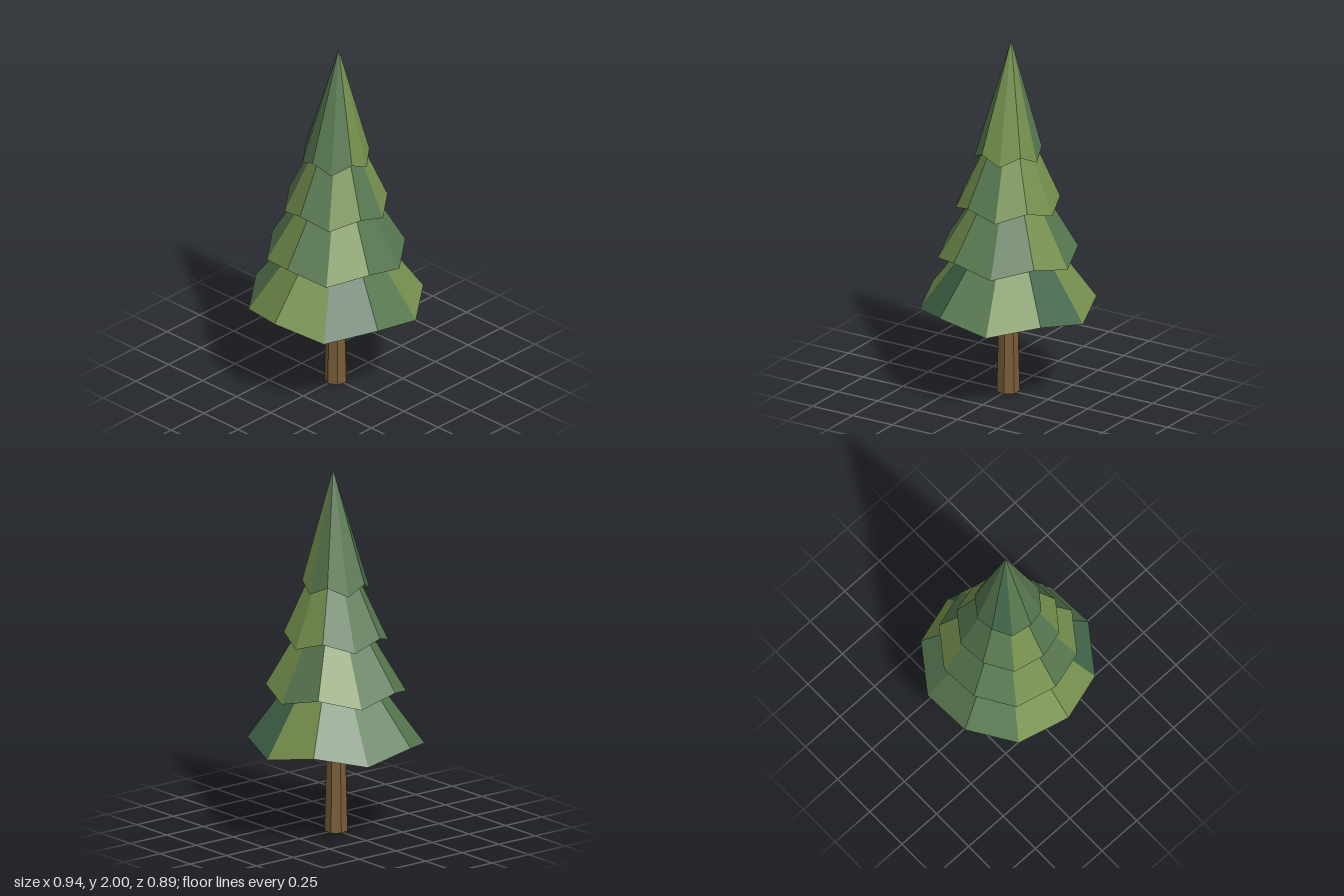
import * as THREE from 'three';

const SIDES = 10;
const APEX_X = 0.02; // the tiers lean slightly to one side
const ZIGZAG = 0.026; // rim corners alternate below and above the tier base

const paint = (name, color) => {
  const m = new THREE.MeshStandardMaterial({ color, flatShading: true });
  m.name = name;
  return m;
};

// One ten-sided cone with a zigzag rim and a closed underside.
// Each letter of faceCode is a face colour, starting at +x and turning towards +z.
function foliageTier(name, { radius, base, height, faceCode, under }, materials, codes) {
  const rim = (k) => {
    const i = k % SIDES;
    const a = (i / SIDES) * Math.PI * 2;
    return [radius * Math.cos(a), base + (i % 2 ? ZIGZAG : -ZIGZAG), radius * Math.sin(a)];
  };
  const apex = [APEX_X, base + height, 0];
  const center = [0, base, 0];
  const points = [];
  const geometry = new THREE.BufferGeometry();
  // needle faces
  for (let k = 0; k < SIDES; k++) {
    geometry.addGroup(k * 3, 3, codes.indexOf(faceCode[k]));
    points.push(...rim(k), ...apex, ...rim(k + 1));
  }
  // underside
  for (let k = 0; k < SIDES; k++) points.push(...rim(k), ...rim(k + 1), ...center);
  geometry.addGroup(SIDES * 3, SIDES * 3, codes.indexOf(under));
  geometry.setAttribute('position', new THREE.Float32BufferAttribute(points, 3));
  geometry.computeVertexNormals();
  const mesh = new THREE.Mesh(geometry, materials);
  mesh.name = name;
  return mesh;
}

export function createModel() {
  const tree = new THREE.Group();
  tree.name = 'pineTree';

  const bark = paint('bark', 0x7a5c38);
  // o = olive, g = mid green, d = deep green
  const codes = 'ogd';
  const greens = [
    paint('oliveNeedles', 0x76904e),
    paint('midGreenNeedles', 0x587850),
    paint('deepGreenNeedles', 0x42664a),
  ];

  // trunk
  const trunkGeometry = new THREE.CylinderGeometry(0.048, 0.063, 0.6, 7);
  trunkGeometry.rotateY(-Math.PI / 2).translate(0, 0.3, 0);
  const trunk = new THREE.Mesh(trunkGeometry, bark);
  trunk.name = 'trunk';
  tree.add(trunk);

  // foliage, bottom to top
  const tiers = [
    { radius: 0.47, base: 0.5, height: 0.65, faceCode: 'dogdoogggo', under: 'g' },
    { radius: 0.373, base: 0.79, height: 0.64, faceCode: 'oggogoggog', under: 'o' },
    { radius: 0.277, base: 1.075, height: 0.62, faceCode: 'oogogogggo', under: 'o' },
    { radius: 0.18, base: 1.36, height: 0.64, faceCode: 'ooogggdggg', under: 'g' },
  ];
  tiers.forEach((tier, i) => tree.add(foliageTier(`foliageTier${i + 1}`, tier, greens, codes)));

  return tree;
}
